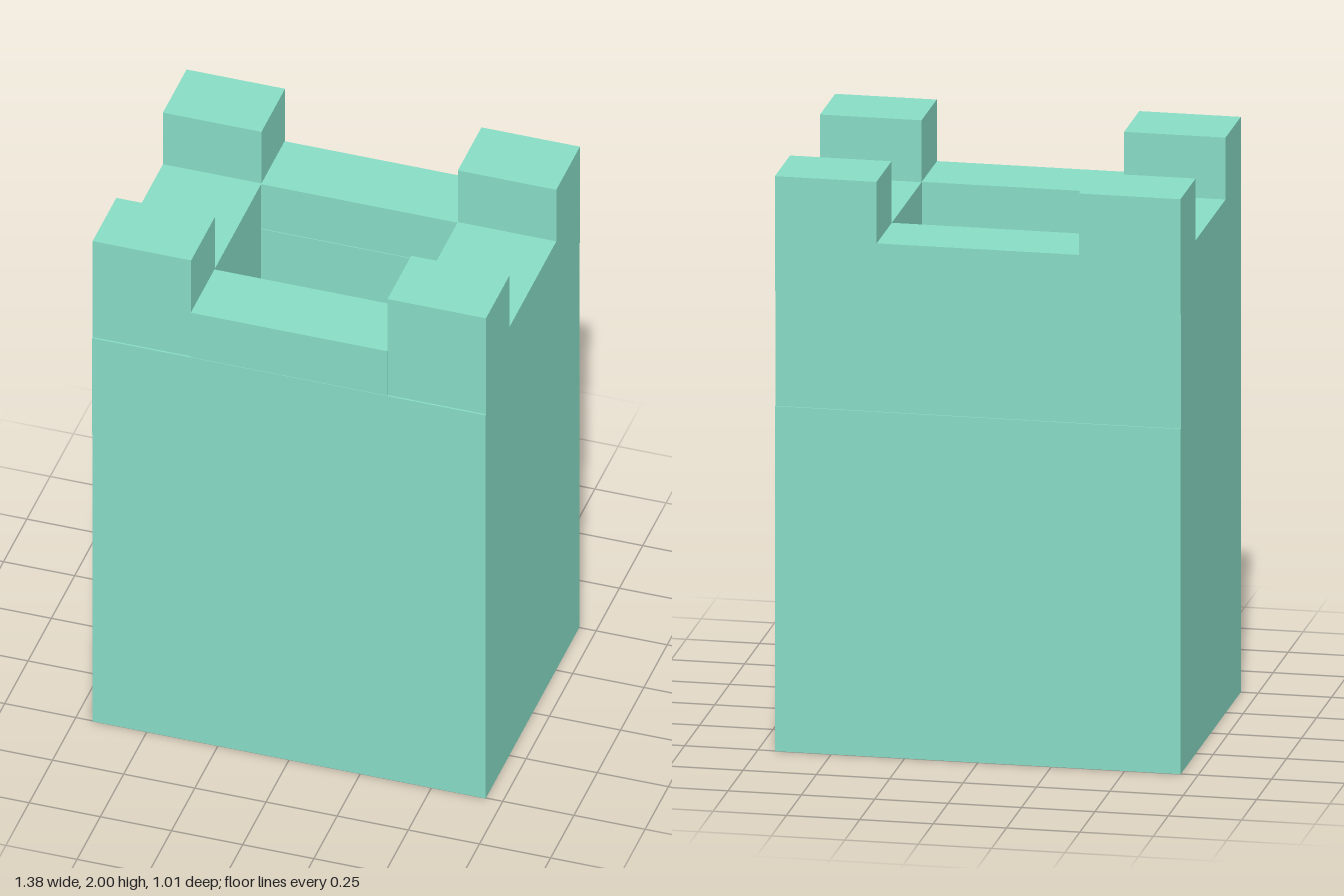
import * as THREE from 'three';

export function createModel() {
  const group = new THREE.Group();
  const material = new THREE.MeshStandardMaterial({ color: 0x88ddc6, flatShading: true });
  const W = 0.691, D = 0.503;    // outer half width and half depth
  const w = 0.345, d = 0.25;     // half size of the central opening

  const add = (name, geometry) => {
    const mesh = new THREE.Mesh(geometry, material);
    mesh.name = name;
    group.add(mesh);
    return mesh;
  };
  // Box given by its limits on each axis
  const block = (name, x0, x1, y0, y1, z0, z1) =>
    add(name, new THREE.BoxGeometry(x1 - x0, y1 - y0, z1 - z0))
      .position.set((x0 + x1) / 2, (y0 + y1) / 2, (z0 + z1) / 2);

  // Solid tower body in two courses
  block('base', -W, W, 0, 0.4, -D, D);
  block('towerBody', -W, W, 0.4, 1.2, -D - 0.002, D);

  // Hollow course around the sunken roof deck
  const rect = (Type, a, b) => new Type([
    new THREE.Vector2(-a, -b), new THREE.Vector2(a, -b),
    new THREE.Vector2(a, b), new THREE.Vector2(-a, b)]);
  const ring = rect(THREE.Shape, W, D);
  ring.holes.push(rect(THREE.Path, w, d));
  const wall = new THREE.ExtrudeGeometry(ring, { depth: 0.4, bevelEnabled: false });
  wall.rotateX(-Math.PI / 2);
  add('upperWall', wall).position.set(0, 1.2, 0.003);

  // Low parapets between the corners
  block('frontParapet', -w, w, 1.6, 1.785, d, D + 0.001);
  block('backParapet', -w, w, 1.6, 1.785, -D + 0.001, -d);
  block('leftParapet', w, W, 1.6, 1.785, -0.254, 0.246);
  block('rightParapet', -W, -w, 1.6, 1.785, -0.254, 0.246);

  // Tall corner merlons, set a hair towards the back
  for (const [side, x0, x1] of [['Left', w, W], ['Right', -W, -w]]) {
    block('front' + side + 'Merlon', x0, x1, 1.6, 2, 0.246, 0.5);
    block('back' + side + 'Merlon', x0, x1, 1.6, 2, -0.507, -0.254);
  }
  return group;
}
